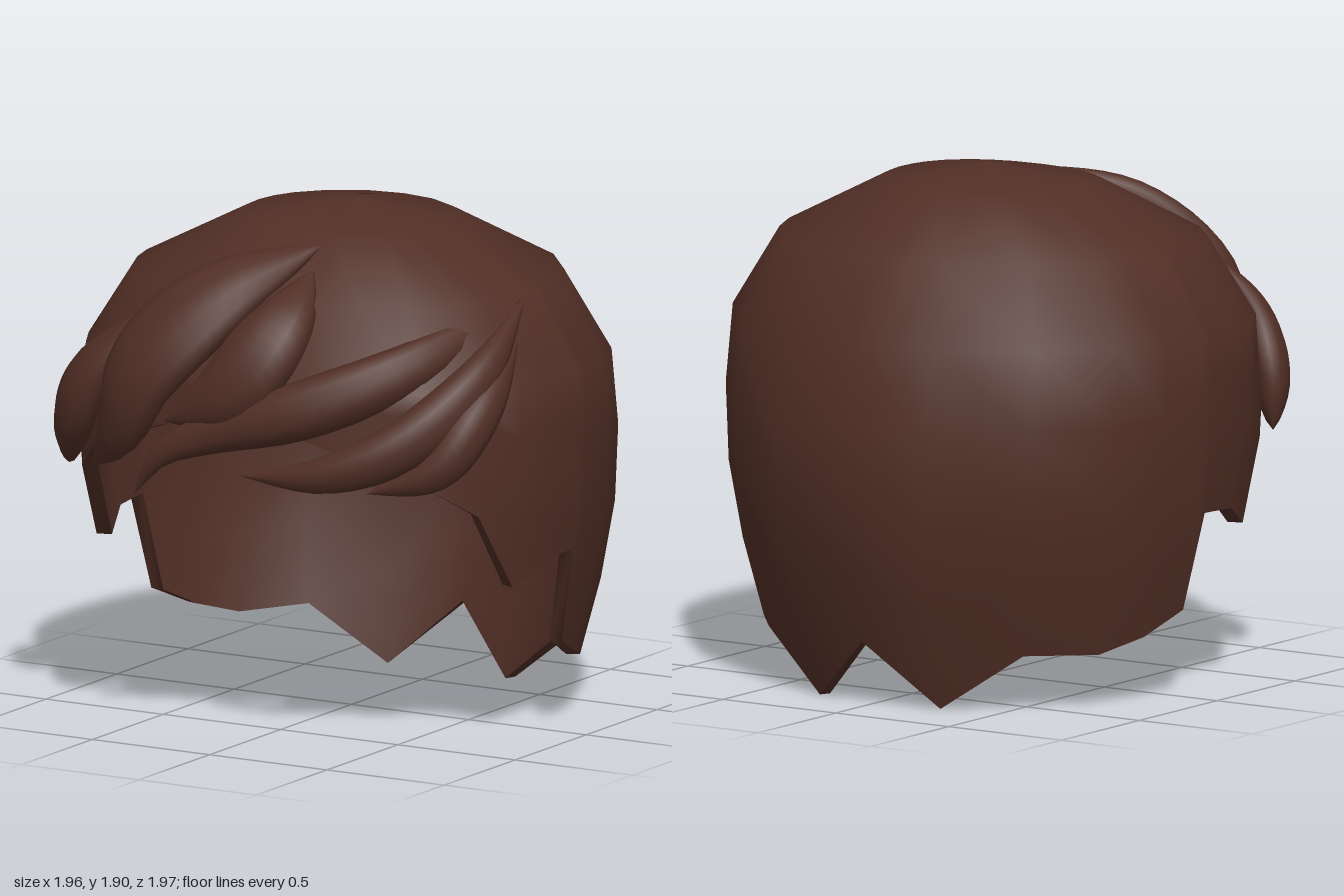
import * as THREE from 'three';
import { mergeVertices } from 'three/addons/utils/BufferGeometryUtils.js';

const { degToRad, lerp } = THREE.MathUtils;

// Smooth surface through rows of points; the rows close on themselves
function gridGeometry(rows, flip = false) {
  const n = rows[0].length;
  const index = [];
  for (let i = 0; i < rows.length - 1; i++) {
    for (let j = 0; j < n; j++) {
      const k = (j + 1) % n;
      const a = i * n + j, b = i * n + k, c = a + n, d = b + n;
      if (flip) index.push(a, d, c, a, b, d);
      else index.push(a, c, d, a, d, b);
    }
  }
  const geometry = new THREE.BufferGeometry().setFromPoints(rows.flat());
  geometry.setIndex(index);
  const merged = mergeVertices(geometry, 1e-4);
  merged.computeVertexNormals();
  return merged;
}

// Cap cross-sections: height, half width, front z, back z
const LEVELS = [
  [1.9, 0, -0.05, -0.05],
  [1.84, 0.4, 0.33, -0.37],
  [1.64, 0.79, 0.67, -0.74],
  [1.35, 0.97, 0.82, -0.89],
  [1.0, 0.98, 0.86, -0.98],
  [0.87, 0.97, 0.86, -1.0],
  [0.57, 0.93, 0.82, -0.94],
  [0.3, 0.87, 0.78, -0.85],
  [0.0, 0.78, 0.7, -0.76],
];

// Hem height by angle from the front: fringe, sideburn, ear notch, nape points
const HEM = [
  [0, 1.2], [14, 1.17], [28, 1.1], [42, 1.02], [58, 0.89], [70, 0.6], [80, 0.68],
  [90, 0.69], [92.5, 0.33], [105, 0.25], [118, 0.2], [138, 0.21], [160, 0.0], [180, 0.24],
];

function capPoint(y, degrees, inset) {
  let i = 1;
  while (i < LEVELS.length - 1 && LEVELS[i][0] > y) i++;
  const [p, q] = [LEVELS[i - 1], LEVELS[i]];
  const t = (y - p[0]) / (q[0] - p[0]);
  const [w, front, back] = [1, 2, 3].map((k) => lerp(p[k], q[k], t));
  const s = Math.sin(degToRad(degrees)), c = Math.cos(degToRad(degrees));
  const power = c > 0 ? 0.85 : 1; // squarer towards the front
  const x = w * Math.sign(s) * Math.abs(s) ** power;
  const z = c > 0 ? front * c ** power : -back * c;
  // The lining is drawn in sideways, and downwards near the crown
  return new THREE.Vector3(x * (1 - inset), y - inset * Math.max(0, y - 1.2) * 1.2, z * (1 - inset));
}

function capRows(inset) {
  const columns = [...HEM, ...HEM.slice(1, -1).reverse().map(([a, y]) => [360 - a, y])];
  const heights = [
    ...[1.9, 1.84, 1.64, 1.35].map((y) => () => y),
    ...[0.25, 0.5, 0.75, 1].map((t) => (hem) => lerp(1.35, hem, t)),
  ];
  return heights.map((h) => columns.map(([a, hem]) => capPoint(h(hem), a, inset)));
}

// Leaf-shaped lock swept along a spine; blunt > 0 rounds off the lower tip
function lockGeometry({ spine, width, thick, blunt = 0 }) {
  const curve = new THREE.CatmullRomCurve3(spine.map((p) => new THREE.Vector3(...p)));
  const steps = 20, sides = 12;
  const rows = [];
  for (let i = 0; i <= steps; i++) {
    const u = i / steps;
    const centre = curve.getPointAt(u);
    const tangent = curve.getTangentAt(u);
    const normal = new THREE.Vector3(centre.x, (centre.y - 1.05) * 0.8, centre.z);
    normal.addScaledVector(tangent, -normal.dot(tangent)).normalize();
    const side = new THREE.Vector3().crossVectors(tangent, normal);
    const size = Math.max(0.001, Math.sin(Math.PI * u ** (1 + blunt)) ** (blunt ? 0.75 : 0.9));
    rows.push(Array.from({ length: sides }, (_, j) => {
      const phi = (j / sides) * Math.PI * 2;
      return centre.clone()
        .addScaledVector(side, width * size * Math.cos(phi))
        .addScaledVector(normal, thick * size * Math.sin(phi));
    }));
  }
  return gridGeometry(rows);
}

const LOCKS = {
  largeCentreLock: {
    spine: [[0.13, 1.81, 0.42], [-0.14, 1.64, 0.7], [-0.36, 1.38, 0.87], [-0.45, 1.17, 0.88], [-0.64, 0.97, 0.77]],
    width: 0.19, thick: 0.1,
  },
  smallCentreLock: {
    spine: [[0.16, 1.74, 0.53], [0.14, 1.54, 0.77], [0.01, 1.34, 0.88], [-0.26, 1.2, 0.9]],
    width: 0.15, thick: 0.09,
  },
  longSweptLock: {
    spine: [[0.8, 1.63, 0.12], [0.6, 1.43, 0.62], [0.3, 1.29, 0.83], [-0.05, 1.18, 0.9], [-0.25, 1.08, 0.93], [-0.38, 0.91, 0.91]],
    width: 0.11, thick: 0.08,
  },
  middleSweptLock: {
    spine: [[0.82, 1.62, 0.14], [0.82, 1.39, 0.48], [0.66, 1.18, 0.71], [0.4, 1.06, 0.85], [0.07, 1.03, 0.9]],
    width: 0.1, thick: 0.08,
  },
  shortSweptLock: {
    spine: [[0.86, 1.5, 0.25], [0.85, 1.26, 0.53], [0.76, 1.08, 0.66], [0.53, 0.99, 0.77]],
    width: 0.09, thick: 0.07,
  },
  rightTempleLock: {
    spine: [[-0.46, 1.57, 0.64], [-0.68, 1.32, 0.68], [-0.81, 1.09, 0.62], [-0.87, 0.91, 0.55]],
    width: 0.14, thick: 0.08, blunt: 0.5,
  },
};

export function createModel() {
  const group = new THREE.Group();
  group.name = 'hair';
  const brown = new THREE.MeshStandardMaterial({ color: 0x502e25 });
  brown.name = 'dark brown hair';

  const add = (name, geometry) => {
    const mesh = new THREE.Mesh(geometry, brown);
    mesh.name = name;
    group.add(mesh);
  };

  // Cap: outer shell, lining and the hem that joins them
  const outer = capRows(0), inner = capRows(0.06);
  add('capShell', gridGeometry(outer));
  add('capLining', gridGeometry(inner, true));
  add('capHem', gridGeometry([outer.at(-1), inner.at(-1)]));

  // Swept fringe
  for (const [name, lock] of Object.entries(LOCKS)) add(name, lockGeometry(lock));
  return group;
}
